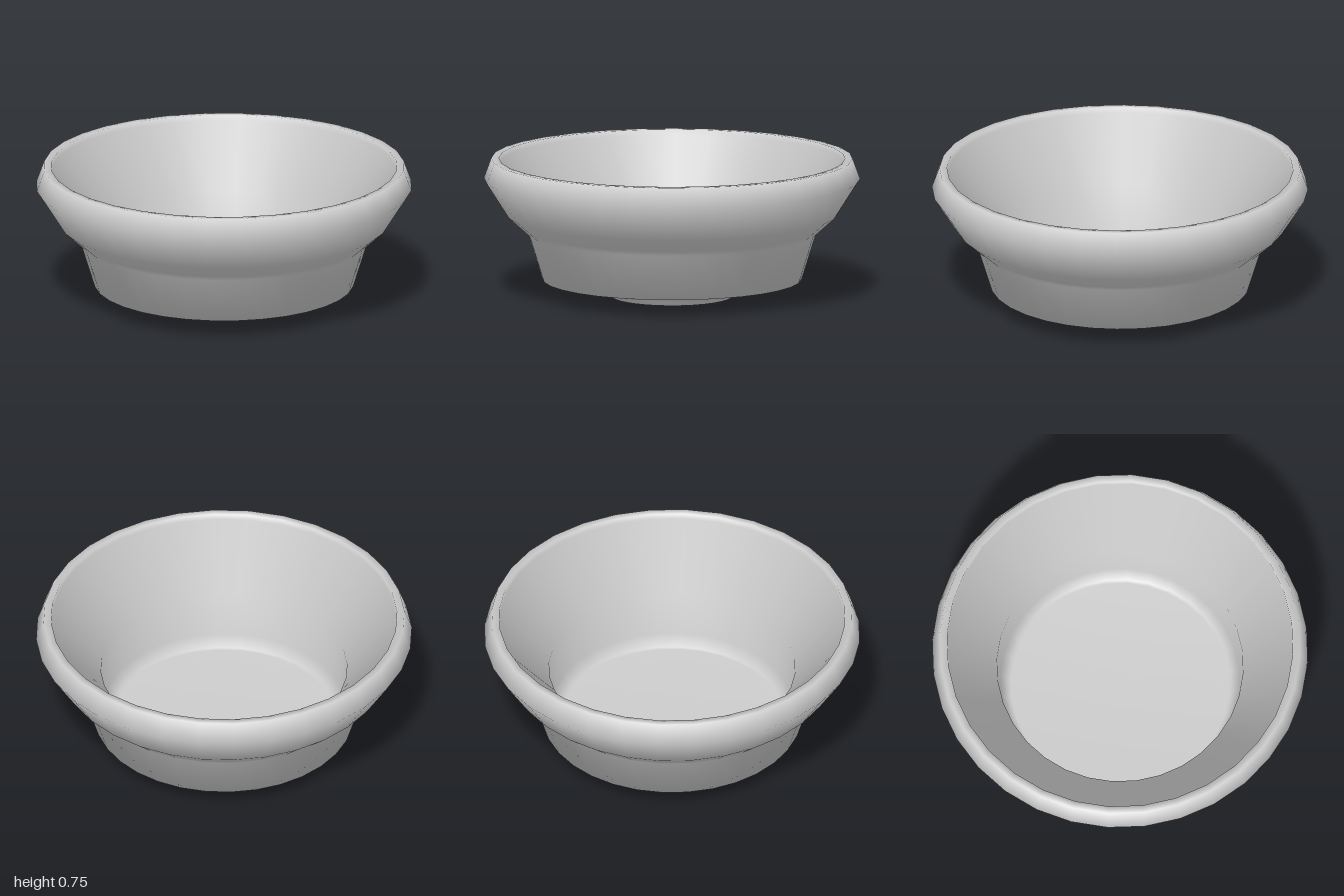
import * as THREE from 'three';

const SIDES = 32;

// lathe whose smooth normals weigh both neighbouring bands equally
function smoothLathe(profile) {
  const geometry = new THREE.LatheGeometry(profile, SIDES);
  const bands = profile.slice(1).map((p, j) => {
    const d = p.clone().sub(profile[j]).normalize();
    return new THREE.Vector2(d.y, -d.x);
  });
  const normals = profile.map((p, j) => {
    const before = bands[Math.max(j - 1, 0)];
    const after = bands[Math.min(j, bands.length - 1)];
    return before.clone().add(after).normalize();
  });
  for (let i = 0; i <= SIDES; i++) {
    const a = (i / SIDES) * Math.PI * 2;
    normals.forEach((n, j) => geometry.attributes.normal.setXYZ(
      i * profile.length + j, n.x * Math.sin(a), n.y, n.x * Math.cos(a)));
  }
  return geometry;
}

export function createModel() {
  const group = new THREE.Group();
  group.name = 'roundBowl';
  const material = new THREE.MeshStandardMaterial({ color: 0xcccccc });

  // closed profile: radius, height
  const profile = [
    // foot and underside
    [0, 0], [0.27, 0], [0.32, 0.003], [0.32, 0.02], [0.57, 0.096], [0.69, 0.096],
    // stepped, flaring outer wall
    [0.767, 0.345], [0.8, 0.375], [0.88, 0.447], [1, 0.637],
    // rim
    [0.96, 0.745], [0.92, 0.745], [0.918, 0.715],
    // inner slope, steep well and flat floor
    [0.655, 0.41], [0.637, 0.165], [0.597, 0.102], [0.58, 0.1], [0, 0.1],
  ].map(([r, y]) => new THREE.Vector2(r, y));

  const bowl = new THREE.Mesh(smoothLathe(profile), material);
  bowl.name = 'bowl';
  group.add(bowl);
  return group;
}
